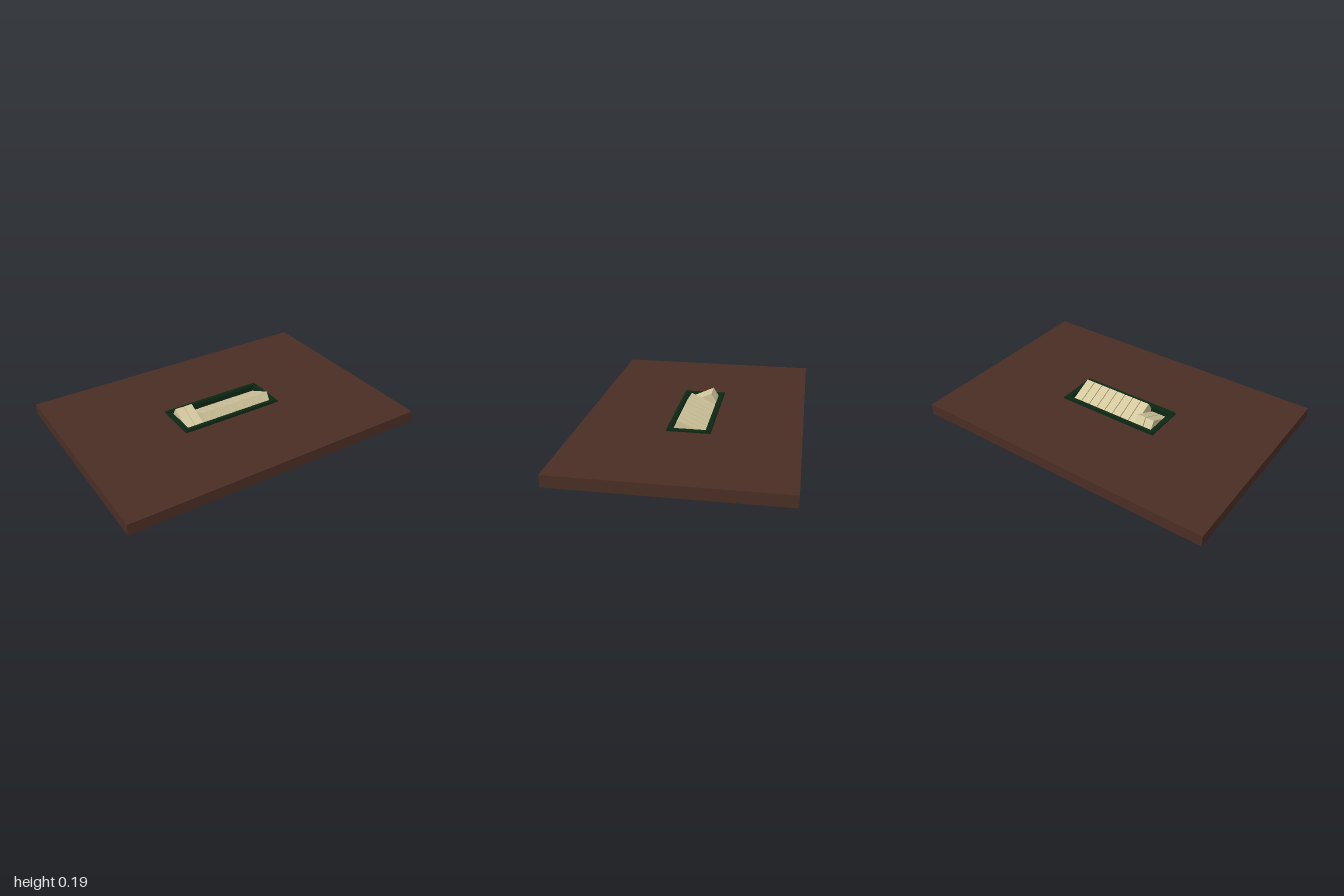
import * as THREE from 'three';

const mat = (name, color) => {
  const m = new THREE.MeshStandardMaterial({ color });
  m.name = name;
  return m;
};

export function createModel() {
  const brown = mat('dark brown', 0x4a2e24);
  const green = mat('dark green', 0x0b2713);
  const cream = mat('cream', 0xd3c79d);
  const group = new THREE.Group();

  const add = (name, geometry, material, x = 0, y = 0, z = 0) => {
    const mesh = new THREE.Mesh(geometry, material);
    mesh.name = name;
    mesh.position.set(x, y, z);
    group.add(mesh);
    return mesh;
  };
  const rect = (Type, w, d) => new Type([
    new THREE.Vector2(-w, -d), new THREE.Vector2(w, -d),
    new THREE.Vector2(w, d), new THREE.Vector2(-w, d),
  ]);
  // Flat rectangular ring lying on the ground plane; sizes are half extents
  const ring = (w, d, holeW, holeD, height) => {
    const shape = rect(THREE.Shape, w, d);
    shape.holes.push(rect(THREE.Path, holeW, holeD));
    return new THREE.ExtrudeGeometry(shape, { depth: height, bevelEnabled: false }).rotateX(-Math.PI / 2);
  };

  // Board with an opening for the switch bank
  add('board', ring(1, 0.68, 0.313, 0.128, 0.073), brown, 0, 0.064, 0);

  // Open housing below the board
  add('housingWalls', ring(0.313, 0.128, 0.309, 0.122, 0.134), green, 0, 0.006, 0);
  add('housingFloor', new THREE.BoxGeometry(0.626, 0.006, 0.256), green, 0, 0.003, 0);

  // Frame: a low rim with a slightly raised bar along each long side
  add('frameRim', ring(0.343, 0.135, 0.309, 0.101, 0.008), green, 0, 0.142, -0.003);
  for (const s of [-1, 1]) {
    add('frameBar', new THREE.BoxGeometry(0.67, 0.007, 0.024), green, 0, 0.1525, s * 0.12 - 0.003);
  }

  // Rocker switches: the first two tip the other way
  const profile = [[0.1, 0.138], [0.065, 0.195], [-0.1, 0.119], [-0.06, 0.07], [0.06, 0.07]];
  const count = 10, pitch = 0.0612, width = 0.056;
  const rocker = new THREE.ExtrudeGeometry(
    new THREE.Shape(profile.map(([z, y]) => new THREE.Vector2(-z, y))),
    { depth: width, bevelEnabled: false },
  ).translate(0, 0, -width / 2).rotateY(Math.PI / 2);
  for (let i = 0; i < count; i++) {
    const key = add('rockerSwitch', rocker, cream, (i - (count - 1) / 2) * pitch - 0.002, 0, -0.002);
    if (i < 2) key.rotation.y = Math.PI;
  }
  return group;
}
